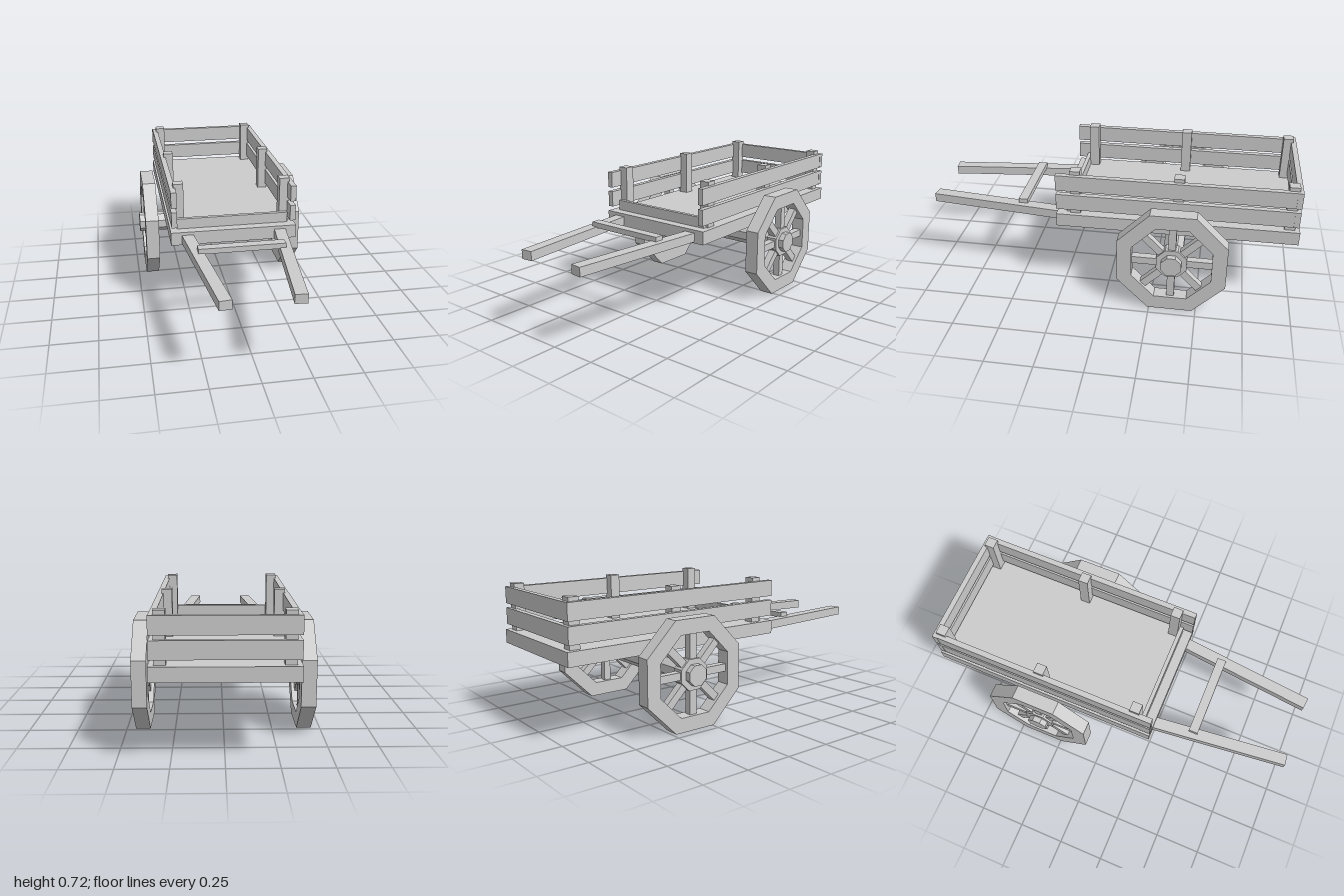
import * as THREE from 'three';

const material = new THREE.MeshStandardMaterial({ color: 0xcccccc, flatShading: true });

function add(parent, name, geometry, x = 0, y = 0, z = 0) {
  const mesh = new THREE.Mesh(geometry, material);
  mesh.name = name;
  mesh.position.set(x, y, z);
  parent.add(mesh);
  return mesh;
}

// Box given by its lower and upper limits on each axis
function addBox(parent, name, [x0, x1], [y0, y1], [z0, z1]) {
  return add(parent, name, new THREE.BoxGeometry(x1 - x0, y1 - y0, z1 - z0),
    (x0 + x1) / 2, (y0 + y1) / 2, (z0 + z1) / 2);
}

// Octagon corners with a flat side on top, sized by the distance to its flats
function octagon(apothem) {
  const r = apothem / Math.cos(Math.PI / 8);
  return Array.from({ length: 8 }, (_, i) => {
    const a = (i + 0.5) * Math.PI / 4;
    return new THREE.Vector2(r * Math.cos(a), r * Math.sin(a));
  });
}

// Octagonal prism along x, centred, with an optional octagonal hole
function octagonPrism(apothem, width, hole = 0) {
  const shape = new THREE.Shape(octagon(apothem));
  if (hole) shape.holes.push(new THREE.Path(octagon(hole)));
  return new THREE.ExtrudeGeometry(shape, { depth: width, bevelEnabled: false })
    .translate(0, 0, -width / 2).rotateY(Math.PI / 2);
}

function createWheel() {
  const wheel = new THREE.Group();
  wheel.name = 'wheel';
  add(wheel, 'rim', octagonPrism(0.287, 0.075, 0.21));
  add(wheel, 'hub', octagonPrism(0.08, 0.06));
  for (let i = 0; i < 8; i++) {
    const spoke = add(wheel, 'spoke', new THREE.BoxGeometry(0.04, 0.175, 0.04).translate(0, 0.1325, 0));
    spoke.rotation.x = i * Math.PI / 4;
  }
  return wheel;
}

export function createModel() {
  const cart = new THREE.Group();
  cart.name = 'handCart';
  const rails = [[0.5, 0.587], [0.61, 0.697]];

  // Bed and front board
  addBox(cart, 'bed', [-0.34, 0.34], [0.4, 0.472], [-1, 0.268]);
  addBox(cart, 'frontBoard', [-0.303, 0.303], [0.47, 0.528], [0.194, 0.216]);

  // Back planks
  for (const y of rails) addBox(cart, 'backPlank', [-0.337, 0.337], y, [-0.992, -0.963]);

  for (const side of [-1, 1]) {
    // Side planks and posts
    for (const y of rails) {
      add(cart, 'sidePlank', new THREE.BoxGeometry(0.03, y[1] - y[0], 1.231),
        side * 0.32, (y[0] + y[1]) / 2, -0.3475);
    }
    for (const z of [0.168, -0.375, -0.948]) {
      add(cart, 'post', new THREE.BoxGeometry(0.054, 0.25, 0.054), side * 0.288, 0.592, z);
    }

    // Converging pull shafts
    const shaft = add(cart, 'shaft', new THREE.BoxGeometry(0.062, 0.048, 0.75), side * 0.2125, 0.431, 0.623);
    shaft.rotation.y = -side * 0.108;

    // Wheels
    const wheel = createWheel();
    wheel.position.set(side * 0.4165, 0.287, -0.361);
    cart.add(wheel);
  }

  // Crossbar over the shafts, and axle
  addBox(cart, 'crossbar', [-0.226, 0.226], [0.45, 0.479], [0.455, 0.505]);
  add(cart, 'axle', octagonPrism(0.053, 0.954), 0, 0.287, -0.361);

  return cart;
}
